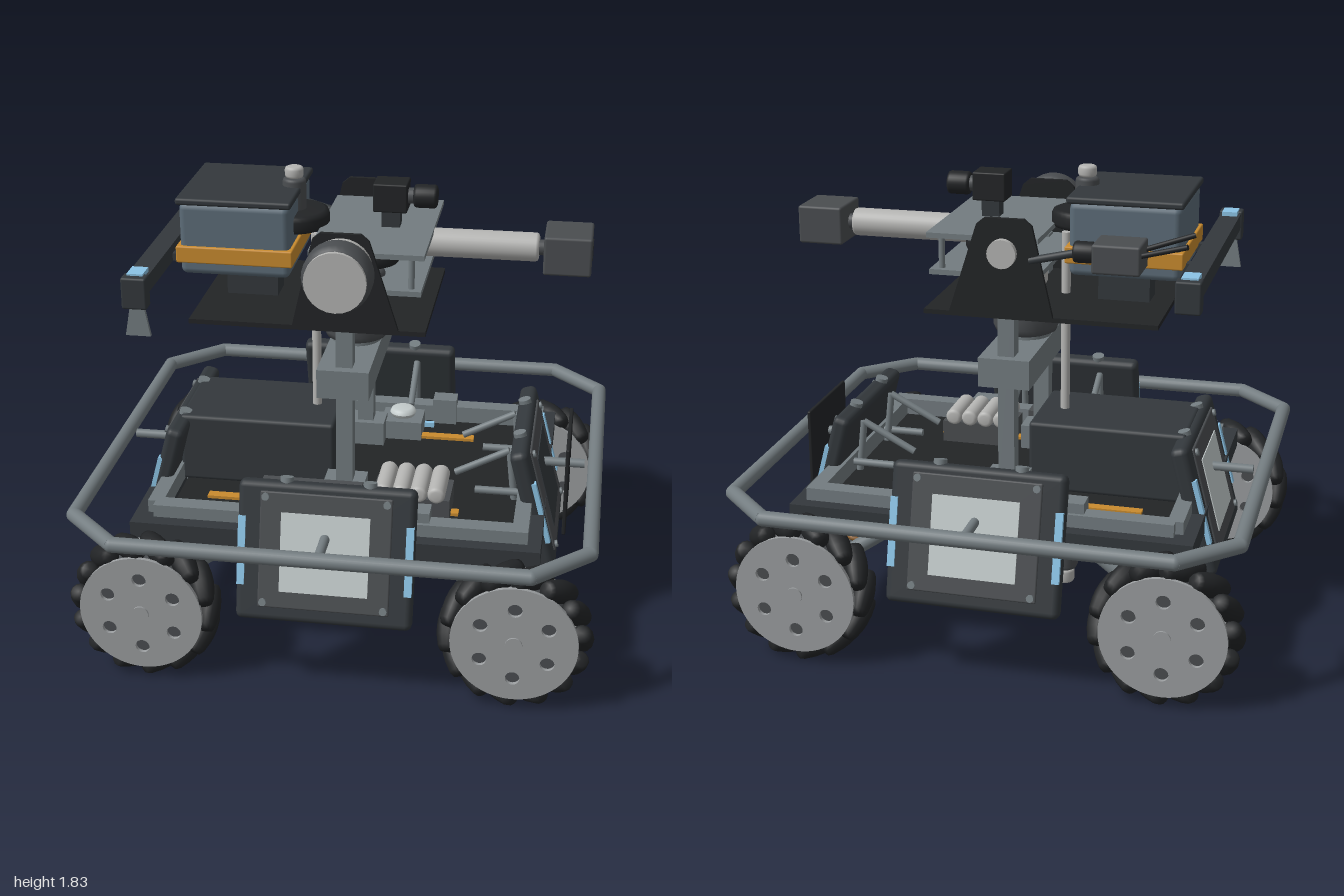
import * as THREE from 'three';
import { RoundedBoxGeometry } from 'three/addons/geometries/RoundedBoxGeometry.js';

const mat = (color, side = THREE.FrontSide) => new THREE.MeshStandardMaterial({ color, side });
const M = {
  dark: mat(0x33383c), black: mat(0x222426), mid: mat(0x4a4d50), grey: mat(0x737c80), light: mat(0xb4b4b2),
  hub: mat(0x9a9d9f), blue: mat(0x8cc4e6), orange: mat(0xc98b2e), steel: mat(0x5c6c78), pale: mat(0xc3cbcb),
  spring: mat(0x8a5a22),
};
const V = (x, y, z) => new THREE.Vector3(x, y, z);
const UP = V(0, 1, 0);

function add(parent, name, geo, m, x = 0, y = 0, z = 0) {
  const mesh = new THREE.Mesh(geo, m);
  mesh.name = name;
  mesh.position.set(x, y, z);
  parent.add(mesh);
  return mesh;
}
// Box given by its limits on each axis
function box(parent, name, m, [x0, x1], [y0, y1], [z0, z1], round = 0) {
  const s = [x1 - x0, y1 - y0, z1 - z0];
  const geo = round ? new RoundedBoxGeometry(...s, 2, round) : new THREE.BoxGeometry(...s);
  return add(parent, name, geo, m, (x0 + x1) / 2, (y0 + y1) / 2, (z0 + z1) / 2);
}
// Cylinder between two points
function rod(parent, name, m, a, b, r, r2 = r, seg = 24) {
  const d = b.clone().sub(a);
  const mesh = add(parent, name, new THREE.CylinderGeometry(r2, r, d.length(), seg), m);
  mesh.position.copy(a).add(b).multiplyScalar(0.5);
  mesh.quaternion.setFromUnitVectors(UP, d.normalize());
  return mesh;
}
// Cylinder with rounded rims between two points
function drum(parent, name, m, a, b, r, bevel = 0.02) {
  const d = b.clone().sub(a), h = d.length(), k = bevel * 0.3;
  const pts = [[0, 0], [r - bevel, 0], [r - k, k], [r, bevel], [r, h - bevel], [r - k, h - k], [r - bevel, h], [0, h]];
  const mesh = add(parent, name, new THREE.LatheGeometry(pts.map(p => new THREE.Vector2(...p)), 32), m);
  mesh.position.copy(a);
  mesh.quaternion.setFromUnitVectors(UP, d.normalize());
  return mesh;
}

// Wheel on the z axis with slanted rollers; slant is +1 or -1
function makeWheel(slant) {
  const g = new THREE.Group();
  g.name = 'wheel';
  const disc = new THREE.Shape().absarc(0, 0, 0.237, 0, Math.PI * 2);
  for (let i = 0; i < 6; i++) {
    const a = Math.PI / 6 + i * Math.PI / 3;
    disc.holes.push(new THREE.Path().absarc(0.145 * Math.cos(a), 0.145 * Math.sin(a), 0.027, 0, Math.PI * 2, true));
  }
  const plate = new THREE.ExtrudeGeometry(disc, { depth: 0.015, bevelEnabled: false, curveSegments: 32 });
  for (const z of [-0.083, 0.068]) add(g, 'hubPlate', plate, M.hub, 0, 0, z);
  rod(g, 'hubCore', M.mid, V(0, 0, -0.06), V(0, 0, 0.06), 0.2, 0.2, 40);
  rod(g, 'axleCap', M.hub, V(0, 0, -0.09), V(0, 0, 0.09), 0.032);
  const prof = [[0, -0.088], [0.026, -0.088], [0.036, -0.07], [0.044, -0.03], [0.046, 0], [0.044, 0.03], [0.036, 0.07], [0.026, 0.088], [0, 0.088]];
  const roller = new THREE.LatheGeometry(prof.map(p => new THREE.Vector2(...p)), 12);
  for (let i = 0; i < 14; i++) {
    const a = i / 14 * Math.PI * 2, c = Math.cos(a), s = Math.sin(a);
    const mesh = add(g, 'roller', roller, M.black, 0.246 * c, 0.246 * s, 0);
    mesh.quaternion.setFromUnitVectors(UP, V(-s * slant, c * slant, 1).normalize());
  }
  return g;
}

// Sloping armour panel, facing +z before it is turned
function makePanel(face) {
  const g = new THREE.Group();
  g.name = 'armourPanel';
  const p = new THREE.Group();
  p.name = 'panelPlate';
  p.position.set(0, 0.595, 0.735);
  p.rotation.x = -0.26;
  g.add(p);
  box(p, 'panelBody', M.dark, [-0.33, 0.33], [-0.265, 0.265], [-0.035, 0.035], 0.025);
  box(p, 'panelFrame', M.mid, [-0.245, 0.245], [-0.21, 0.23], [0.03, 0.043], 0.006);
  box(p, 'panelFace', face, [-0.165, 0.165], [-0.145, 0.155], [0.04, 0.047]);
  for (const s of [-1, 1]) {
    box(p, 'lightStrip', M.blue, [s * 0.312 - 0.014, s * 0.312 + 0.014], [-0.13, 0.13], [-0.02, 0.041]);
    for (const y of [-0.19, 0.21]) rod(p, 'bolt', M.grey, V(s * 0.225, y, 0.04), V(s * 0.225, y, 0.053), 0.014);
    rod(p, 'topPin', M.grey, V(s * 0.155, 0.26, 0), V(s * 0.155, 0.28, 0), 0.025);
    // Triangular braces back to the frame
    const top = V(s * 0.17, 0.79, 0.63);
    rod(g, 'brace', M.grey, top, V(s * 0.17, 0.68, 0.42), 0.014);
    rod(g, 'brace', M.grey, top, V(s * 0.17, 0.52, 0.66), 0.014);
    rod(g, 'lowerBrace', M.grey, V(s * 0.2, 0.54, 0.5), V(s * 0.2, 0.38, 0.76), 0.016);
    box(g, 'panelFoot', M.grey, [s * 0.2 - 0.025, s * 0.2 + 0.025], [0.36, 0.42], [0.68, 0.76]);
  }
  rod(g, 'bumperStay', M.grey, V(0, 0.67, 0.72), V(0, 0.67, 0.92), 0.018);
  return g;
}

function makeChassis() {
  const g = new THREE.Group();
  g.name = 'chassis';
  box(g, 'deck', M.black, [-0.66, 0.7], [0.55, 0.58], [-0.5, 0.5]);
  for (const s of [-1, 1]) {
    box(g, 'sideFrame', M.dark, [-0.78, 0.78], [0.52, 0.6], [s * 0.56 - 0.06, s * 0.56 + 0.06]);
    box(g, 'endFrame', M.dark, [s * 0.73 - 0.05, s * 0.73 + 0.05], [0.52, 0.6], [-0.5, 0.5]);
    box(g, 'sideRail', M.grey, [-0.7, 0.73], [0.58, 0.65], [s * 0.53 - 0.035, s * 0.53 + 0.035]);
    box(g, 'endRail', M.grey, [s * 0.7 - 0.03, s * 0.7 + 0.03], [0.58, 0.65], [-0.53, 0.53]);
    box(g, 'deckStripe', M.orange, [-0.54, 0.45], [0.58, 0.592], [s * 0.33 - 0.02, s * 0.33 + 0.02]);
    box(g, 'deckLight', M.blue, [-0.36, 0.27], [0.58, 0.6], [s * 0.435 - 0.01, s * 0.435 + 0.01]);
    box(g, 'mastFoot', M.grey, [-0.08, 0.08], [0.57, 0.68], [s * 0.28 - 0.06, s * 0.28 + 0.06]);
    box(g, 'mastPost', M.grey, [-0.032, 0.032], [0.6, 1.5], [s * 0.28 - 0.033, s * 0.28 + 0.033]);
    rod(g, 'sensorRod', M.grey, V(0.5, 0.62, s * 0.19), V(0.68, 0.62, s * 0.19), 0.015);
    for (const t of [-1, 1]) {
      box(g, 'railBracket', M.grey, [t * 0.31 - 0.05, t * 0.31 + 0.05], [0.58, 0.69], [s * 0.51 - 0.04, s * 0.51 + 0.04]);
      // Wheel, drive motor and sprung arm at each corner
      const w = makeWheel(s * t);
      w.position.set(t * 0.705, 0.305, s * 0.71);
      g.add(w);
      drum(g, 'driveMotor', M.mid, V(t * 0.705, 0.305, s * 0.4), V(t * 0.705, 0.305, s * 0.6), 0.077);
      drum(g, 'motorCap', M.light, V(t * 0.705, 0.305, s * 0.325), V(t * 0.705, 0.305, s * 0.4), 0.068);
      rod(g, 'axle', M.grey, V(t * 0.705, 0.305, s * 0.6), V(t * 0.705, 0.305, s * 0.65), 0.04);
      rod(g, 'swingArm', M.grey, V(t * 0.42, 0.5, s * 0.56), V(t * 0.69, 0.32, s * 0.6), 0.03);
      const a = V(t * 0.6, 0.36, s * 0.44), b = V(t * 0.5, 0.57, s * 0.45);
      rod(g, 'damper', M.mid, a, b, 0.022);
      const coil = [];
      for (let i = 0; i <= 72; i++) {
        const q = i / 72 * Math.PI * 12;
        coil.push(a.clone().lerp(b, i / 72).add(V(0.045 * Math.cos(q), 0, 0.045 * Math.sin(q))));
      }
      add(g, 'spring', new THREE.TubeGeometry(new THREE.CatmullRomCurve3(coil), 144, 0.01, 6), M.spring);
    }
  }
  // Equipment on the deck
  box(g, 'controlBox', M.dark, [-0.68, -0.06], [0.58, 0.86], [-0.2, 0.2], 0.015);
  box(g, 'computer', M.mid, [-0.31, 0.08], [0.58, 0.7], [0.35, 0.45]);
  for (let i = 0; i < 4; i++) drum(g, 'airBottle', M.light, V(0.165 + i * 0.068, 0.695, 0.2), V(0.165 + i * 0.068, 0.695, 0.42), 0.034, 0.015);
  box(g, 'bottleTray', M.mid, [0.12, 0.42], [0.58, 0.67], [0.22, 0.4]);
  box(g, 'scannerBase', M.grey, [0.06, 0.23], [0.58, 0.66], [-0.43, -0.29]);
  drum(g, 'scanner', M.pale, V(0.145, 0.66, -0.36), V(0.145, 0.7, -0.36), 0.055);
  box(g, 'screen', M.black, [0.847, 0.862], [0.45, 0.82], [-0.2, 0.2], 0.005);
  // Gear below the deck
  box(g, 'lowerColumn', M.grey, [-0.05, 0.05], [0.28, 0.56], [-0.05, 0.05]);
  box(g, 'motorBracket', M.dark, [-0.22, 0.05], [0.28, 0.32], [-0.095, 0.095]);
  drum(g, 'yawMotor', M.mid, V(-0.16, 0.16, 0), V(-0.16, 0.29, 0), 0.058);
  drum(g, 'yawMotorCap', M.light, V(-0.16, 0.1, 0), V(-0.16, 0.16, 0), 0.045, 0.012);
  box(g, 'lowerPlate', M.dark, [0.05, 0.31], [0.273, 0.295], [-0.09, 0.09]);
  // Bumper loop
  const ring = [[-0.76, 0.918], [0.76, 0.918], [0.962, 0.72], [0.962, -0.72], [0.76, -0.918], [-0.76, -0.918], [-0.962, -0.72], [-0.962, 0.72]].map(p => V(p[0], 0.67, p[1]));
  ring.forEach((p, i) => {
    rod(g, 'bumperTube', M.grey, p, ring[(i + 1) % 8], 0.029);
    add(g, 'bumperJoint', new THREE.SphereGeometry(0.029, 20, 12), M.grey, p.x, p.y, p.z);
  });
  // Panels: front, right end, back, left end
  for (let i = 0; i < 4; i++) {
    const p = makePanel(i === 1 ? M.dark : M.pale);
    p.rotation.y = i * Math.PI / 2;
    g.add(p);
  }
  return g;
}

function makeTurret() {
  const g = new THREE.Group();
  g.name = 'turret';
  // Mast head and turntable
  box(g, 'crossBeam', M.grey, [-0.1, 0.1], [1.045, 1.16], [-0.35, 0.35]);
  drum(g, 'turntable', M.mid, V(0, 1.17, 0), V(0, 1.305, 0), 0.13, 0.035);
  rod(g, 'turntableNeck', M.grey, V(0, 1.14, 0), V(0, 1.33, 0), 0.1);
  rod(g, 'cablePole', M.light, V(-0.16, 0.58, 0), V(-0.16, 1.58, 0), 0.018);
  box(g, 'basePlate', M.black, [-0.585, 0.31], [1.32, 1.338], [-0.35, 0.35]);
  const side = new THREE.Shape([[-0.19, 1.335], [0.21, 1.335], [0.1, 1.68], [0.07, 1.705], [-0.08, 1.705], [-0.11, 1.68]].map(p => new THREE.Vector2(...p)));
  const sideGeo = new THREE.ExtrudeGeometry(side, { depth: 0.018, bevelEnabled: false });
  for (const z of [-0.355, 0.337]) add(g, 'sidePlate', sideGeo, M.black, 0, 0, z);
  drum(g, 'pitchMotor', M.mid, V(0, 1.575, 0.38), V(0, 1.575, 0.51), 0.13, 0.035);
  rod(g, 'pitchMotorFace', M.light, V(0, 1.575, 0.35), V(0, 1.575, 0.518), 0.115);
  rod(g, 'pitchBearing', M.light, V(0, 1.575, -0.38), V(0, 1.575, -0.33), 0.055);
  // Launcher plates, flywheels and barrel
  box(g, 'upperPlate', M.grey, [-0.13, 0.3], [1.61, 1.63], [-0.335, 0.335]);
  box(g, 'lowerPlate', M.grey, [-0.13, 0.29], [1.47, 1.49], [-0.335, 0.335]);
  drum(g, 'feedMotor', M.light, V(0, 1.36, 0), V(0, 1.47, 0), 0.085);
  for (const s of [-1, 1]) {
    drum(g, 'flywheel', M.black, V(0.08, 1.54, s * 0.17), V(0.08, 1.6, s * 0.17), 0.11);
    drum(g, 'flywheelMotor', M.mid, V(0.08, 1.39, s * 0.17), V(0.08, 1.52, s * 0.17), 0.055);
    drum(g, 'flywheelCap', M.light, V(0.08, 1.355, s * 0.17), V(0.08, 1.39, s * 0.17), 0.045, 0.01);
    for (const x of [-0.09, 0.25]) rod(g, 'spacer', M.grey, V(x, 1.48, s * 0.3), V(x, 1.62, s * 0.3), 0.012);
  }
  drum(g, 'barrel', M.light, V(0.1, 1.57, 0), V(0.7, 1.57, 0), 0.055, 0.012);
  rod(g, 'barrelTip', M.mid, V(0.69, 1.57, 0), V(0.73, 1.57, 0), 0.03);
  box(g, 'muzzleBox', M.mid, [0.72, 0.9], [1.495, 1.645], [-0.105, 0.105], 0.01);
  box(g, 'muzzleWindow', M.black, [0.895, 0.903], [1.54, 1.6], [-0.04, 0.04]);
  // Sight camera
  box(g, 'cameraMount', M.dark, [0.1, 0.17], [1.62, 1.7], [-0.03, 0.03]);
  box(g, 'camera', M.black, [0.07, 0.2], [1.695, 1.805], [-0.057, 0.057], 0.006);
  drum(g, 'lens', M.black, V(0.22, 1.75, 0), V(0.31, 1.75, 0), 0.045, 0.012);
  rod(g, 'lensNeck', M.mid, V(0.19, 1.75, 0), V(0.23, 1.75, 0), 0.03);
  // Magazine and feeder
  box(g, 'magazine', M.steel, [-0.64, -0.22], [1.47, 1.75], [-0.23, 0.23], 0.025);
  box(g, 'magazineBand', M.orange, [-0.653, -0.207], [1.52, 1.585], [-0.243, 0.243], 0.006);
  box(g, 'magazineLid', M.dark, [-0.65, -0.21], [1.745, 1.772], [-0.24, 0.24], 0.01);
  box(g, 'magazineSupport', M.dark, [-0.5, -0.3], [1.33, 1.48], [-0.06, 0.06]);
  drum(g, 'feeder', M.black, V(-0.24, 1.61, 0), V(-0.24, 1.68, 0), 0.135);
  drum(g, 'feederKnob', M.mid, V(-0.24, 1.67, 0), V(-0.24, 1.8, 0), 0.045, 0.012);
  drum(g, 'feederCap', M.light, V(-0.24, 1.8, 0), V(-0.24, 1.845, 0), 0.036, 0.012);
  // Radio with two aerials
  box(g, 'radio', M.mid, [-0.53, -0.35], [1.54, 1.65], [-0.44, -0.28], 0.01);
  drum(g, 'radioPlug', M.black, V(-0.35, 1.6, -0.36), V(-0.27, 1.6, -0.36), 0.04, 0.01);
  rod(g, 'radioArm', M.dark, V(-0.3, 1.6, -0.36), V(-0.1, 1.55, -0.345), 0.015);
  for (const s of [-1, 1]) rod(g, 'aerial', M.black, V(-0.52, 1.61, -0.36 + s * 0.05), V(-0.7, 1.665, -0.36 + s * 0.09), 0.01);
  // Rear light bar on arms
  box(g, 'lightBar', M.dark, [-0.765, -0.685], [1.5, 1.565], [-0.57, 0.57]);
  for (const s of [-1, 1]) {
    box(g, 'lightBarEnd', M.dark, [-0.772, -0.678], [1.455, 1.575], [s * 0.55 - 0.03, s * 0.55 + 0.03], 0.008);
    box(g, 'lightBarLamp', M.blue, [-0.755, -0.695], [1.56, 1.582], [s * 0.51 - 0.04, s * 0.51 + 0.04]);
    box(g, 'lightBarArm', M.dark, [-0.7, -0.6], [1.5, 1.53], [s * 0.15 - 0.02, s * 0.15 + 0.02]);
    const flap = new THREE.Shape([[-0.772, 1.34], [-0.678, 1.34], [-0.7, 1.46], [-0.75, 1.46]].map(p => new THREE.Vector2(...p)));
    if (s > 0) add(g, 'flap', new THREE.ExtrudeGeometry(flap, { depth: 0.015, bevelEnabled: false }), M.grey, 0, 0, 0.53);
  }
  return g;
}

export function createModel() {
  const model = new THREE.Group();
  model.name = 'roverWithTurret';
  model.add(makeChassis(), makeTurret());
  return model;
}
